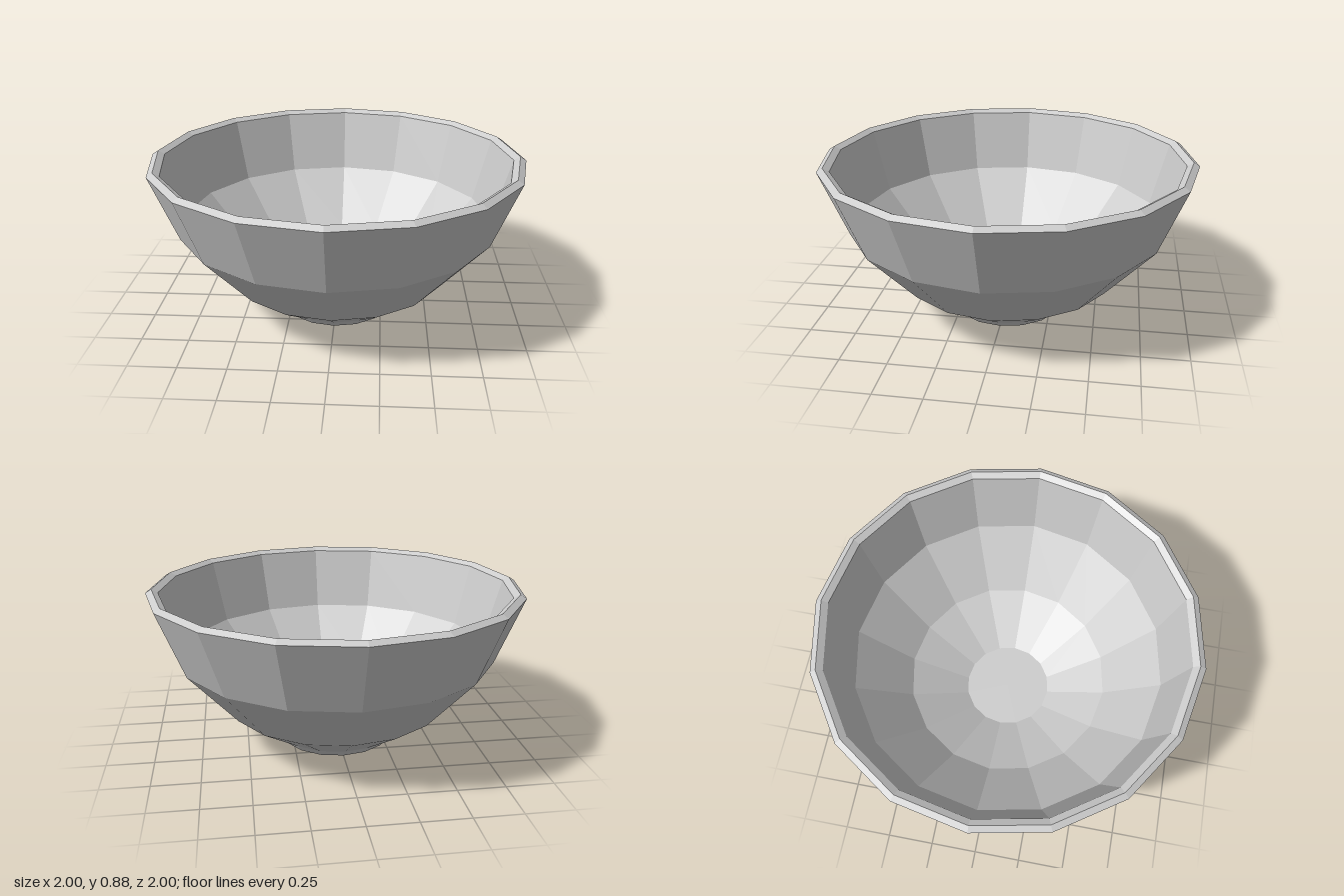
import * as THREE from 'three';

const SIDES = 16;

export function createModel() {
  const group = new THREE.Group();
  group.name = 'bowl';
  const material = new THREE.MeshStandardMaterial({ color: 0xcccccc, flatShading: true });

  // Each part is a faceted ring of bands, profile given as [radius, height]
  const addPart = (name, profile) => {
    const points = profile.map(([r, y]) => new THREE.Vector2(r, y));
    const mesh = new THREE.Mesh(new THREE.LatheGeometry(points, SIDES), material);
    mesh.name = name;
    group.add(mesh);
  };

  // Flat base and short flared foot
  addPart('foot', [[0, 0], [0.31, 0], [0.335, 0.035]]);
  // Outside wall, widening upwards
  addPart('outerWall', [[0.335, 0.035], [0.595, 0.2], [0.86, 0.5], [1, 0.857]]);
  // Rim ridge, bevelled to both sides
  addPart('rim', [[1, 0.857], [0.968, 0.877], [0.935, 0.857]]);
  // Inside wall down to the flat floor
  addPart('innerWall', [[0.935, 0.857], [0.84, 0.515], [0.56, 0.22], [0.242, 0.05], [0, 0.05]]);

  return group;
}
